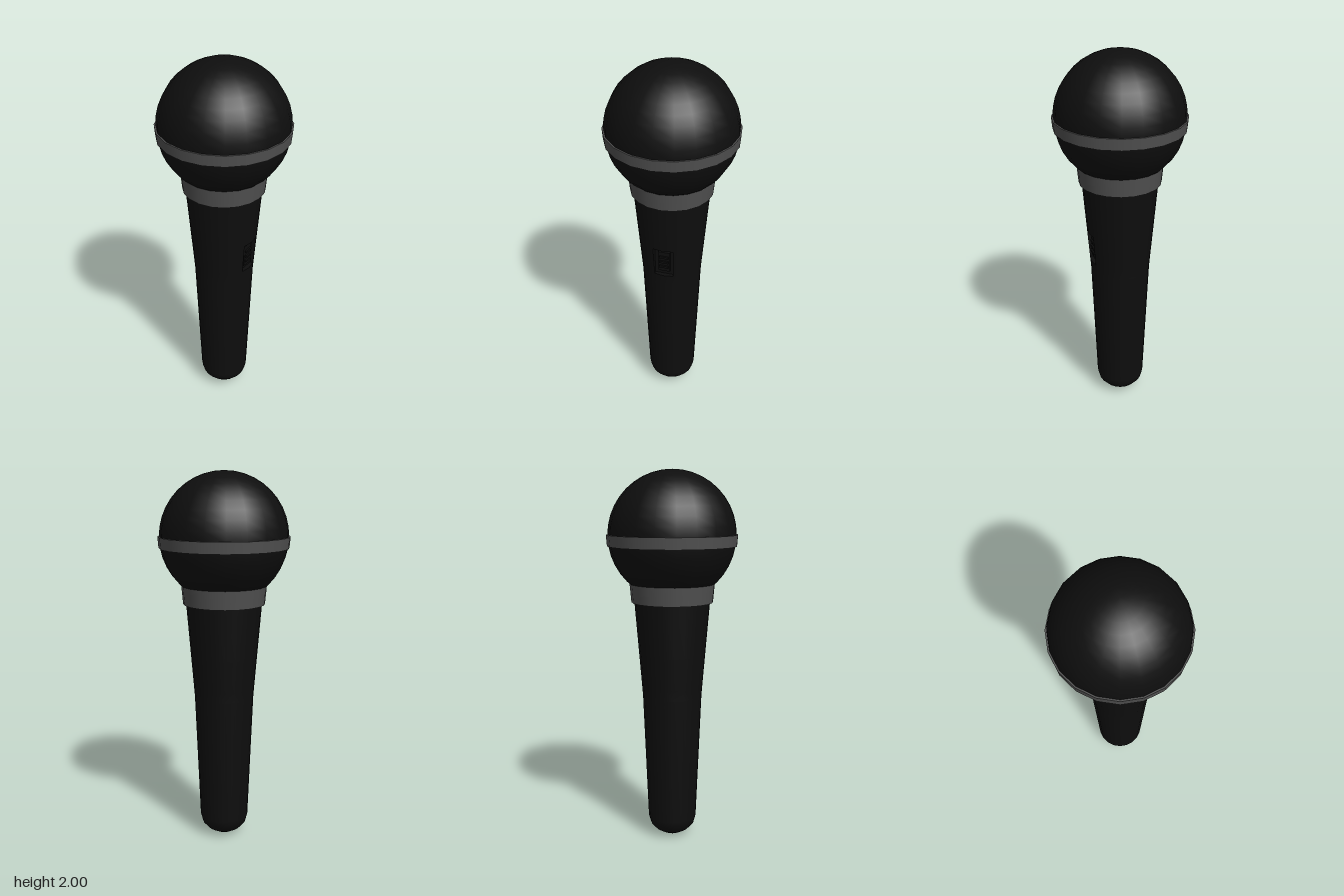
import * as THREE from 'three';

const SIDES = 20;
const black = new THREE.MeshStandardMaterial({ color: 0x0e0e0e });
const blackDouble = new THREE.MeshStandardMaterial({ color: 0x0e0e0e, side: THREE.DoubleSide });
const grey = new THREE.MeshStandardMaterial({ color: 0x505050 });

function add(group, name, geometry, material, x = 0, y = 0, z = 0) {
  const mesh = new THREE.Mesh(geometry, material);
  mesh.name = name;
  mesh.position.set(x, y, z);
  group.add(mesh);
  return mesh;
}

// Switch pocket: bottom and top heights, with the handle radius at each
const POCKET = [{ y: 0.86, r: 0.165 }, { y: 1.03, r: 0.179 }];
const FLOOR_X = 0.14;

// Tapered handle with a rounded foot; two facets on the +x side are left open
function handleGeometry() {
  const profile = [
    [0, 0], [0.05, 0.008], [0.092, 0.032], [0.12, 0.063], [0.132, 0.105],
    [0.16, 0.8], [POCKET[0].r, POCKET[0].y], [POCKET[1].r, POCKET[1].y], [0.203, 1.32],
  ].map(([r, y]) => new THREE.Vector2(r, y));
  const geometry = new THREE.LatheGeometry(profile, SIDES);
  const rows = profile.length - 1;
  const kept = Array.from(geometry.index.array).filter((_, k) => {
    const quad = Math.floor(k / 6);
    const segment = Math.floor(quad / rows);
    const row = quad % rows;
    return !(row === 6 && (segment === 4 || segment === 5));
  });
  geometry.setIndex(kept);
  return geometry;
}

// Walls and floor of the pocket, following the rim of the opening
function pocketGeometry() {
  const rim = [];
  POCKET.forEach(({ y, r }, end) => {
    const steps = end ? [1, 0, -1] : [-1, 0, 1];
    for (const s of steps) {
      const a = s * 2 * Math.PI / SIDES;
      rim.push([r * Math.cos(a), y, r * Math.sin(a)]);
    }
  });
  const floor = rim.map(([, y, z]) => [FLOOR_X, y, z]);
  const positions = [];
  const quad = (a, b, c, d) => positions.push(...a, ...b, ...c, ...a, ...c, ...d);
  for (let i = 0; i < rim.length; i++) {
    const j = (i + 1) % rim.length;
    quad(rim[i], rim[j], floor[j], floor[i]);
  }
  quad(floor[0], floor[5], floor[3], floor[2]);
  const geometry = new THREE.BufferGeometry();
  geometry.setAttribute('position', new THREE.Float32BufferAttribute(positions, 3));
  geometry.computeVertexNormals();
  return geometry;
}

export function createModel() {
  const model = new THREE.Group();
  model.name = 'microphone';

  add(model, 'handle', handleGeometry(), black);

  // Recessed slide switch
  const powerSwitch = new THREE.Group();
  powerSwitch.name = 'slideSwitch';
  add(powerSwitch, 'switchPocket', pocketGeometry(), blackDouble);
  add(powerSwitch, 'switchSlider', new THREE.BoxGeometry(0.014, 0.12, 0.064), black, FLOOR_X + 0.006, 0.945);
  for (let i = 0; i < 3; i++) {
    add(powerSwitch, 'switchRidge', new THREE.BoxGeometry(0.012, 0.012, 0.05), black, FLOOR_X + 0.016, 0.945 + (i - 1) * 0.03);
  }
  model.add(powerSwitch);

  // Collar between handle and head
  add(model, 'collar', new THREE.CylinderGeometry(0.228, 0.218, 0.108, SIDES), grey, 0, 1.364);

  // Round grille and its band
  add(model, 'grille', new THREE.SphereGeometry(0.34, SIDES, 20), black, 0, 1.66);
  add(model, 'grilleBand', new THREE.CylinderGeometry(0.348, 0.343, 0.06, SIDES), grey, 0, 1.635);

  return model;
}
